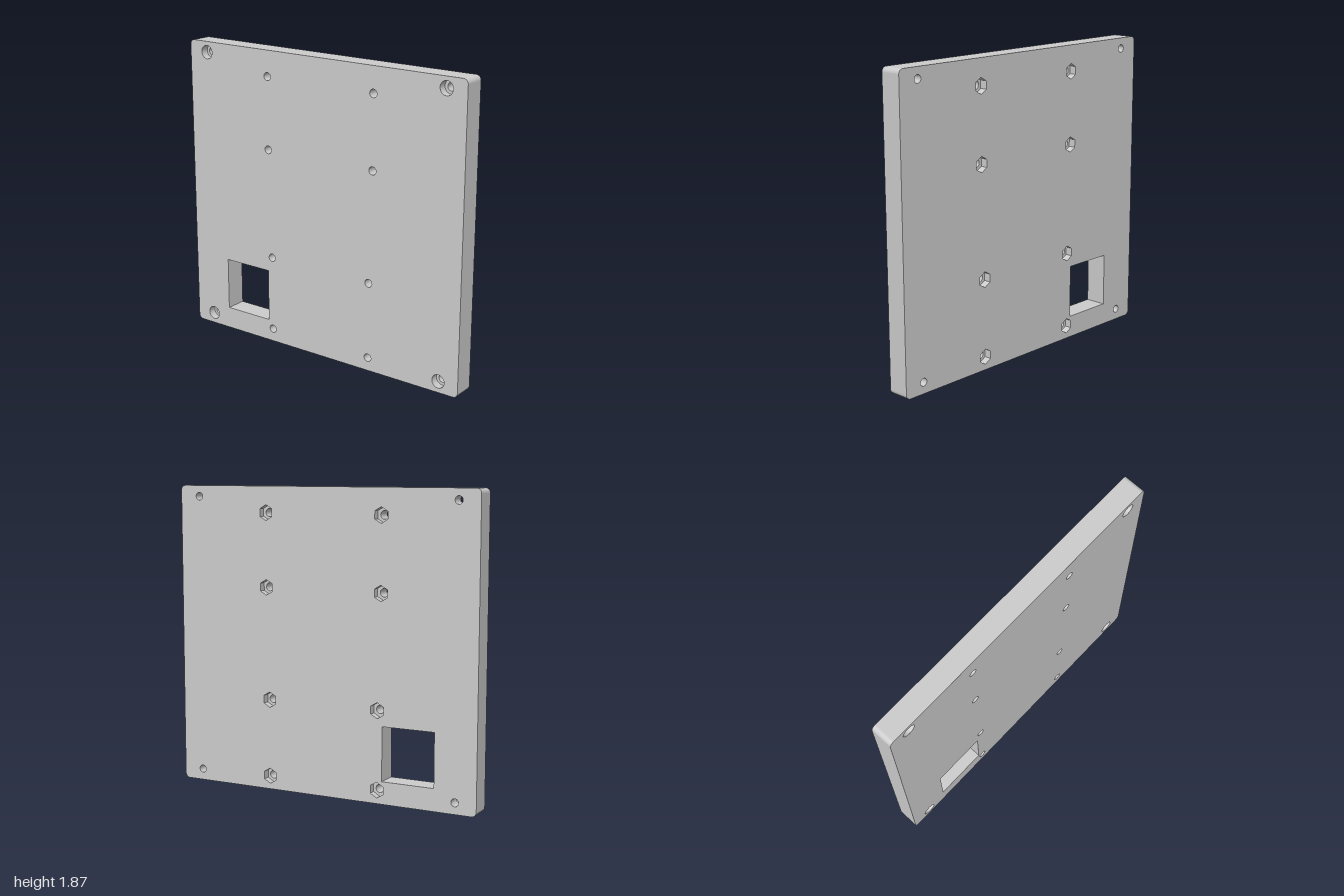
import * as THREE from 'three';

const W = 1, H = 1.87, T = 0.067, R = 0.03; // half width, height, half thickness, corner radius
const SEG = 32;
const smooth = new THREE.MeshStandardMaterial({ color: 0xcccccc, side: THREE.DoubleSide });
const flat = new THREE.MeshStandardMaterial({ color: 0xcccccc, side: THREE.DoubleSide, flatShading: true });

// Regular polygon with a corner pointing down
function ngon(x, y, r, n) {
  return Array.from({ length: n }, (_, i) => {
    const a = -Math.PI / 2 + (i / n) * Math.PI * 2;
    return new THREE.Vector2(x + r * Math.cos(a), y + r * Math.sin(a));
  });
}

// Rounded outline: points with their outward directions
function outline() {
  const pts = [];
  [[1, 1], [-1, 1], [-1, -1], [1, -1]].forEach(([sx, sy], q) => {
    for (let i = 0; i <= 8; i++) {
      const a = (q + i / 8) * Math.PI / 2, c = Math.cos(a), s = Math.sin(a);
      pts.push({ x: sx * (W - R) + R * c, y: H / 2 + sy * (H / 2 - R) + R * s, c, s });
    }
  });
  return pts;
}

export function createModel() {
  const group = new THREE.Group();
  const add = (name, geo, mat = smooth) => {
    const m = new THREE.Mesh(geo, mat);
    m.name = name;
    group.add(m);
  };
  // Flat face at depth z, looking forward (dir 1) or backward (dir -1)
  const face = (name, points, holes, z, dir) => {
    const shape = new THREE.Shape(points);
    holes.forEach(h => shape.holes.push(new THREE.Path(h)));
    const g = new THREE.ShapeGeometry(shape);
    if (dir < 0) {
      const ix = g.index;
      for (let i = 0; i < ix.count; i += 3) {
        const a = ix.getX(i);
        ix.setX(i, ix.getX(i + 1));
        ix.setX(i + 1, a);
      }
      g.computeVertexNormals();
    }
    g.translate(0, 0, z);
    add(name, g);
  };
  // Open bore wall between two depths
  const bore = (name, x, y, r, n, z0, z1) => {
    const g = new THREE.CylinderGeometry(r, r, z1 - z0, n, 1, true);
    g.rotateX(Math.PI / 2).translate(x, y, (z0 + z1) / 2);
    add(name, g, n > 8 ? smooth : flat);
  };

  const frontHoles = [], backHoles = [];

  // Counterbored corner screw holes
  const zSink = T - 0.05;
  for (const x of [-0.867, 0.867]) for (const y of [0.07, 1.803]) {
    const wide = ngon(x, y, 0.042, SEG), narrow = ngon(x, y, 0.024, SEG);
    frontHoles.push(wide);
    backHoles.push(narrow);
    bore('counterbore', x, y, 0.042, SEG, zSink, T);
    bore('cornerHole', x, y, 0.024, SEG, -T, zSink);
    face('counterboreFloor', wide, [narrow], zSink, 1);
  }

  // Mounting holes with hexagonal nut pockets at the back
  const zNut = -T + 0.045;
  for (const [dx, y] of [[0.387, 1.71], [0.387, 1.257], [0.367, 0.563], [0.367, 0.083]]) for (const x of [-dx, dx]) {
    const hex = ngon(x, y, 0.048, 6), round = ngon(x, y, 0.025, SEG);
    frontHoles.push(round);
    backHoles.push(hex);
    bore('mountingHole', x, y, 0.025, SEG, zNut, T);
    bore('nutPocket', x, y, 0.048, 6, -T, zNut);
    face('nutPocketFloor', hex, [round], zNut, -1);
  }

  // Rectangular window
  const x0 = -0.735, x1 = -0.4, y0 = 0.138, y1 = 0.47;
  const win = [[x0, y0], [x1, y0], [x1, y1], [x0, y1]].map(p => new THREE.Vector2(...p));
  frontHoles.push(win);
  backHoles.push(win);
  const wall = new THREE.CylinderGeometry(Math.SQRT1_2, Math.SQRT1_2, 2 * T, 4, 1, true, Math.PI / 4);
  wall.rotateX(Math.PI / 2).scale(x1 - x0, y1 - y0, 1).translate((x0 + x1) / 2, (y0 + y1) / 2, 0);
  add('windowWalls', wall, flat);

  // Plate faces
  const rim = outline();
  const edge = rim.map(p => new THREE.Vector2(p.x, p.y));
  face('plateFront', edge, frontHoles, T, 1);
  face('plateBack', edge, backHoles, -T, -1);

  // Plate rim with rounded corners
  const pos = [], nor = [], idx = [];
  rim.forEach((p, i) => {
    pos.push(p.x, p.y, -T, p.x, p.y, T);
    nor.push(p.c, p.s, 0, p.c, p.s, 0);
    const a = 2 * i, b = 2 * ((i + 1) % rim.length);
    idx.push(a, b, b + 1, a, b + 1, a + 1);
  });
  const g = new THREE.BufferGeometry();
  g.setAttribute('position', new THREE.Float32BufferAttribute(pos, 3));
  g.setAttribute('normal', new THREE.Float32BufferAttribute(nor, 3));
  g.setIndex(idx);
  add('plateRim', g);

  return group;
}
